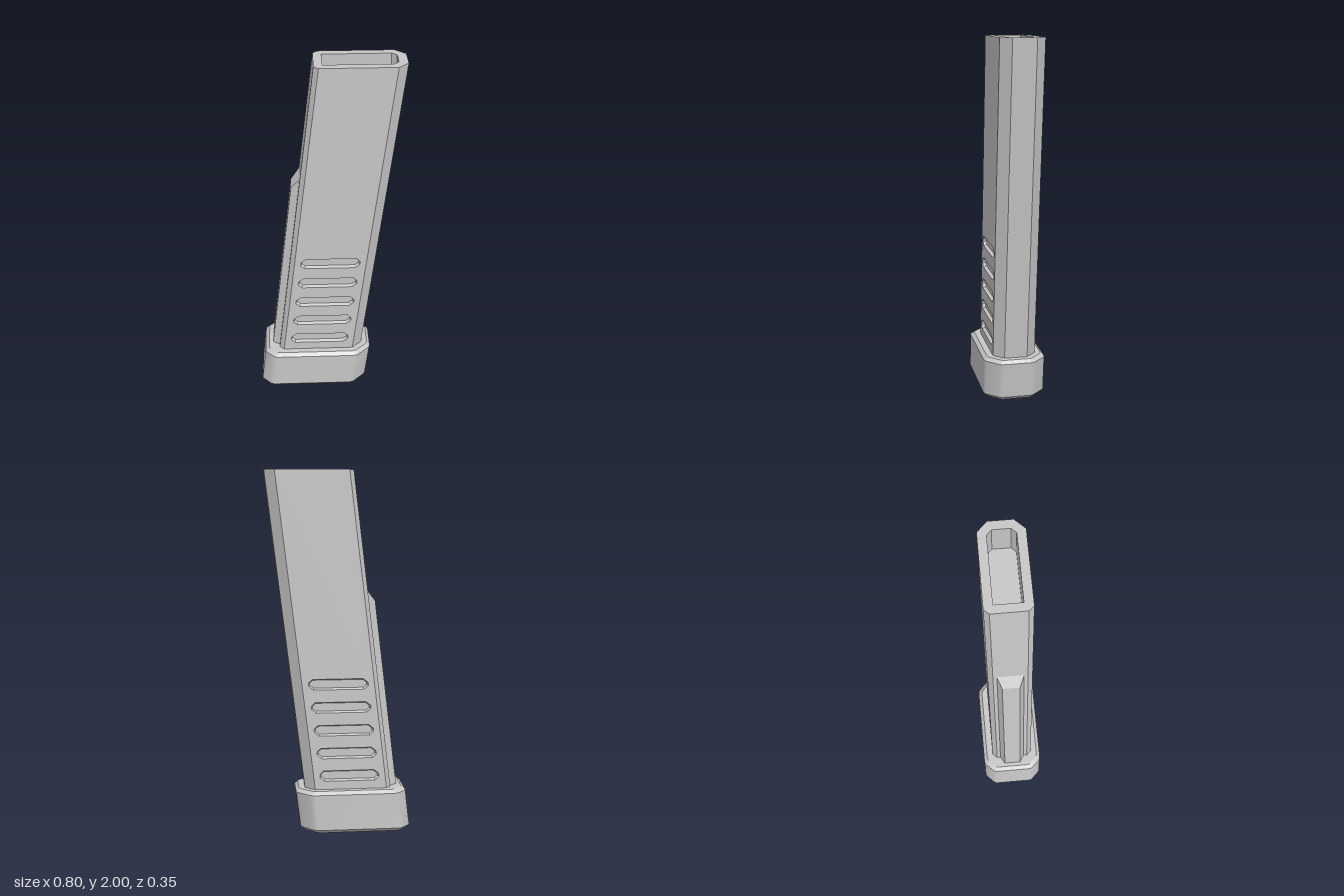
import * as THREE from 'three';
import { toCreasedNormals } from 'three/addons/utils/BufferGeometryUtils.js';

const LEAN = 0.12; // sideways shift per unit of height
const HALF = 0.119; // half thickness of the body

// Leaning point from an upright section position
const lean = (u, y, z) => [u + LEAN * y, y, z];
const ringAt = (section, y) => section.map(([u, z]) => lean(u, y, z));

// Skin successive rings, optionally leaving out edges and closing the ends
function loft(rings, { skip = [], start = false, end = false } = {}) {
  const pos = [];
  const tri = (...pts) => pts.forEach((p) => pos.push(...p));
  const n = rings[0].length;
  for (let r = 0; r < rings.length - 1; r++) {
    for (let i = 0; i < n; i++) {
      if (skip.includes(i)) continue;
      const j = (i + 1) % n;
      const a = rings[r][i], b = rings[r][j], c = rings[r + 1][j], d = rings[r + 1][i];
      tri(a, b, c);
      tri(a, c, d);
    }
  }
  const first = rings[0], last = rings[rings.length - 1];
  for (let i = 1; i < n - 1; i++) {
    if (start) tri(first[0], first[i + 1], first[i]);
    if (end) tri(last[0], last[i], last[i + 1]);
  }
  const g = new THREE.BufferGeometry();
  g.setAttribute('position', new THREE.Float32BufferAttribute(pos, 3));
  g.computeVertexNormals();
  return g;
}

// Complete a section from its +z half, listed from -x to +x
const mirrored = (half) => [...half, ...half.map(([u, z]) => [u, -z]).reverse()];

// Long slot outline with clipped ends, as [x, y] running counter-clockwise
function slotOutline(y, inset) {
  const l = -0.26 + inset, r = 0.071 - inset, h = 0.03 - inset;
  const c = 0.024 - inset * 0.6, k = 0.009 - inset * 0.3;
  return [
    [l + c, -h], [r - c, -h], [r, -k], [r, k],
    [r - c, h], [l + c, h], [l, k], [l, -k],
  ].map(([u, v]) => [u + LEAN * (y + v), y + v]);
}

export function createModel() {
  const group = new THREE.Group();
  const grey = new THREE.MeshStandardMaterial({ color: 0xc7c7c7 });
  grey.name = 'lightGrey';
  const add = (name, geometry) => {
    const mesh = new THREE.Mesh(geometry, grey);
    mesh.name = name;
    group.add(mesh);
  };

  // Body edges and ends; the two broad sides are separate panels
  const bodySection = mirrored([[-0.32, 0.092], [-0.295, HALF], [0.106, HALF], [0.161, 0.064]]);
  add('bodyEdges', loft([ringAt(bodySection, 0.2), ringAt(bodySection, 2)], { skip: [1, 5] }));

  // Broad sides with five recessed grip slots each
  const slotHeights = [0, 1, 2, 3, 4].map((i) => 0.317 + 0.13 * i);
  const toVectors = (pts) => pts.map(([x, y]) => new THREE.Vector2(x, y));
  const corners = [[-0.295, 0.2], [0.106, 0.2], [0.106, 2], [-0.295, 2]];
  const panel = new THREE.Shape(toVectors(corners.map(([u, y]) => [u + LEAN * y, y])));
  for (const y of slotHeights) panel.holes.push(new THREE.Path(toVectors(slotOutline(y, 0))));
  for (const side of [1, -1]) {
    const name = side > 0 ? 'front' : 'back';
    const face = new THREE.ShapeGeometry(panel);
    if (side < 0) face.index.array.reverse();
    face.translate(0, 0, side * HALF);
    face.computeVertexNormals();
    add(name + 'Panel', face);
    slotHeights.forEach((y, i) => {
      const rings = [[0, HALF], [0.008, HALF - 0.018]].map(([inset, z]) => {
        const ring = slotOutline(y, inset).map(([x, v]) => [x, v, side * z]);
        return side > 0 ? ring : ring.reverse();
      });
      add(`${name}Slot${i + 1}`, loft(rings, { end: true }));
    });
  }

  // Top rim and the upright well sunk into it
  const well = mirrored([[-0.035, 0.072], [0.327, 0.072], [0.353, 0.047]]);
  const rim = new THREE.Shape(toVectors(ringAt(bodySection, 2).map(([x, , z]) => [x, -z])));
  rim.holes.push(new THREE.Path(toVectors(well.map(([x, z]) => [x, -z]))));
  add('topRim', new THREE.ShapeGeometry(rim).rotateX(-Math.PI / 2).translate(0, 2, 0));
  const wellRings = [2, 1.8].map((y) => well.map(([x, z]) => [x, y, z]));
  add('topWell', loft(wellRings, { end: true }));

  // Spine rib with a sloped upper end
  const ribSection = mirrored([[-0.36, 0.047], [-0.319, 0.072]]);
  const ribTop = ribSection.map(([u, z]) => lean(u, u < -0.34 ? 1.29 : 1.35, z));
  add('spineRib', loft([ringAt(ribSection, 0.2), ribTop], { end: true }));

  // Base with softened corners and bevelled top and bottom edges
  const baseSection = mirrored([
    [-0.402, 0.105], [-0.397, 0.119], [-0.355, 0.162], [-0.345, 0.169], [-0.33, 0.173],
    [0.114, 0.173], [0.13, 0.17], [0.144, 0.161], [0.203, 0.102], [0.211, 0.091], [0.214, 0.077],
  ]);
  const inset = (d) => baseSection.map(([u, z]) => [-0.094 + (u + 0.094) * (1 - d / 0.308), z * (1 - d / 0.173)]);
  const baseRings = [[0, 0.018], [0.02, 0], [0.222, 0], [0.24, 0.02]].map(([y, d]) => ringAt(inset(d), y));
  add('base', toCreasedNormals(loft(baseRings, { start: true, end: true }), 0.5));

  return group;
}
